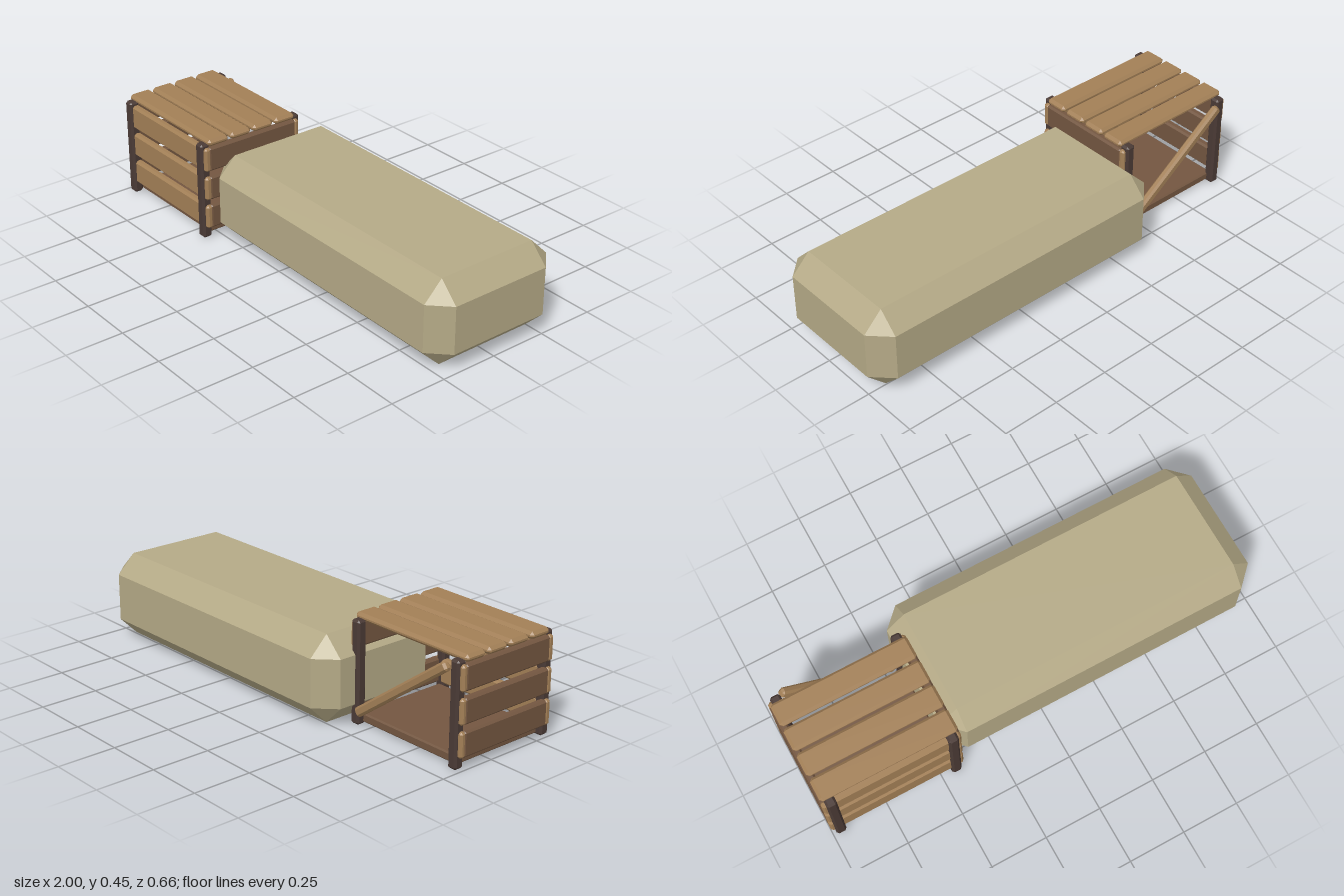
import * as THREE from 'three';
import { ConvexGeometry } from 'three/addons/geometries/ConvexGeometry.js';

const material = (name, color) => {
  const m = new THREE.MeshStandardMaterial({ color });
  m.name = name;
  return m;
};

// Box with every edge cut at 45 degrees and triangular corners
function chamferBox(w, h, d, c) {
  const points = [];
  for (const x of [-1, 1]) for (const y of [-1, 1]) for (const z of [-1, 1]) {
    const a = x * w / 2, b = y * h / 2, e = z * d / 2;
    points.push(
      new THREE.Vector3(a, b - y * c, e - z * c),
      new THREE.Vector3(a - x * c, b, e - z * c),
      new THREE.Vector3(a - x * c, b - y * c, e));
  }
  return new ConvexGeometry(points);
}

export function createModel() {
  const canvas = material('khaki cloth', 0xb4a986);
  const wood = material('light wood', 0xa27f56);
  const redWood = material('red brown wood', 0x735640);
  const darkWood = material('dark wood', 0x4a3a35);

  const model = new THREE.Group();
  const crate = new THREE.Group();
  crate.name = 'crate';
  model.add(crate);

  // Adds a chamfered block given by its limits on each axis
  function block(parent, name, mat, [x0, x1], [y0, y1], [z0, z1], c) {
    const mesh = new THREE.Mesh(chamferBox(x1 - x0, y1 - y0, z1 - z0, c), mat);
    mesh.position.set((x0 + x1) / 2, (y0 + y1) / 2, (z0 + z1) / 2);
    mesh.name = name;
    parent.add(mesh);
    return mesh;
  }

  // Long padded bundle
  block(model, 'bundle', canvas, [-0.437, 1], [0.005, 0.374], [-0.331, 0.285], 0.082);

  // Corner posts
  for (const x of [-0.962, -0.432]) for (const z of [-0.152, 0.311]) {
    block(crate, 'cornerPost', darkWood, [x - 0.022, x + 0.022], [0, 0.434], [z - 0.022, z + 0.022], 0.009);
  }

  // Lid planks
  for (let i = 0; i < 4; i++) {
    const z = 0.251 - i * 0.114;
    block(crate, 'lidPlank', wood, [-0.996, -0.396], [0.421, 0.452], [z - 0.051, z + 0.051], 0.012);
  }

  // Front and side planks, the back stays open
  for (const y of [0.101, 0.233, 0.365]) {
    const height = [y - 0.053, y + 0.053];
    block(crate, 'frontPlank', wood, [-0.96, -0.434], height, [0.288, 0.322], 0.009);
    for (const side of [-1, 1]) {
      const outer = -0.697 + side * 0.303, inner = outer - side * 0.034;
      const xs = [Math.min(outer, inner), Math.max(outer, inner)];
      block(crate, 'sidePlank', redWood, xs, height, [-0.145, 0.302], 0.008);
      block(crate, 'sidePlankFrontEnd', wood, xs, height, [0.292, 0.322], 0.009);
      block(crate, 'sidePlankBackEnd', wood, xs, height, [-0.163, -0.135], 0.009);
    }
  }

  // Floor board
  block(crate, 'floorBoard', redWood, [-0.962, -0.432], [0.008, 0.046], [-0.145, 0.29], 0.006);

  // Diagonal brace across the open back
  const brace = block(crate, 'backBrace', wood, [-0.992, -0.402], [0.214, 0.254], [-0.195, -0.162], 0.009);
  brace.rotation.z = -0.63;

  return model;
}
